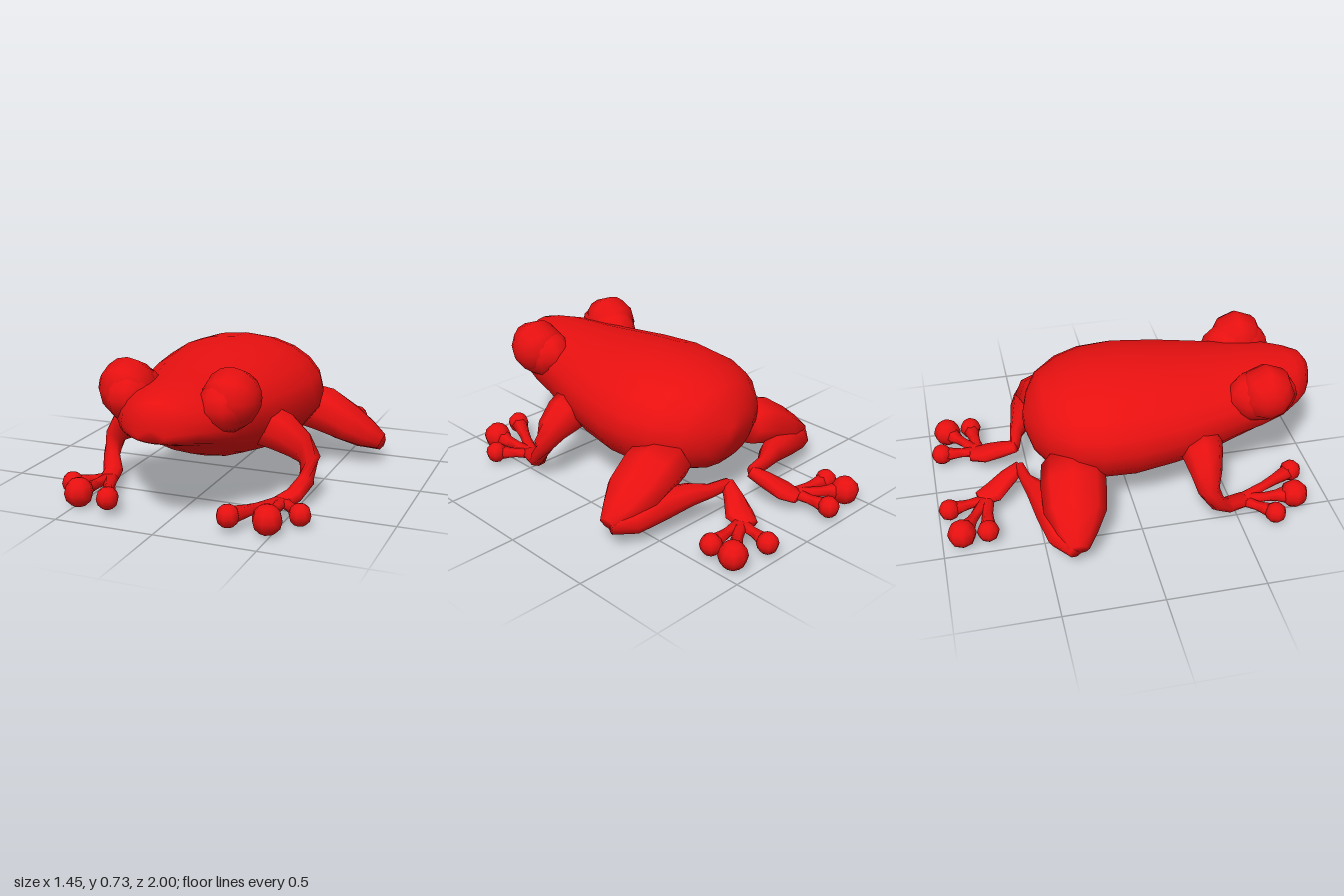
import * as THREE from 'three';

const skin = new THREE.MeshStandardMaterial({ color: 0xe81010 });

// Smooth skin over a list of equal-length rings, closed at both ends
function loft(name, rings) {
  const n = rings[0].length, pos = [], idx = [];
  rings.forEach(r => r.forEach(p => pos.push(p.x, p.y, p.z)));
  for (let i = 0; i < rings.length - 1; i++) {
    for (let j = 0; j < n; j++) {
      const a = i * n + j, b = i * n + (j + 1) % n;
      idx.push(a, a + n, b, b, a + n, b + n);
    }
  }
  [0, rings.length - 1].forEach((r, end) => {
    const c = new THREE.Vector3();
    rings[r].forEach(p => c.addScaledVector(p, 1 / n));
    const centre = pos.length / 3;
    pos.push(c.x, c.y, c.z);
    for (let j = 0; j < n; j++) {
      const a = r * n + j, b = r * n + (j + 1) % n;
      if (end) idx.push(centre, b, a); else idx.push(centre, a, b);
    }
  });
  const g = new THREE.BufferGeometry();
  g.setAttribute('position', new THREE.Float32BufferAttribute(pos, 3));
  g.setIndex(idx);
  g.computeVertexNormals();
  const mesh = new THREE.Mesh(g, skin);
  mesh.name = name;
  return mesh;
}

// Limb along points [x, y, z, half width, half height]; side mirrors x
function limb(name, side, pts, sides = 8) {
  const p = pts.map(q => new THREE.Vector3(q[0] * side, q[1], q[2]));
  const up = new THREE.Vector3(0, 1, 0);
  const rings = p.map((c, i) => {
    const before = p[Math.max(i - 1, 0)], after = p[Math.min(i + 1, p.length - 1)];
    const back = new THREE.Vector3();
    if (before !== c) back.add(before.clone().sub(c).normalize());
    if (after !== c) back.add(c.clone().sub(after).normalize());
    back.normalize();
    const s = up.clone().cross(back).normalize();
    const u = back.clone().cross(s);
    return Array.from({ length: sides }, (_, j) => {
      const a = j / sides * Math.PI * 2;
      return c.clone().addScaledVector(s, Math.cos(a) * pts[i][3])
        .addScaledVector(u, Math.sin(a) * pts[i][4]);
    });
  });
  return loft(name, rings);
}

function ball(name, x, y, z, r, w = 8, h = 6) {
  const m = new THREE.Mesh(new THREE.SphereGeometry(r, w, h), skin);
  m.name = name;
  m.position.set(x, y, z);
  return m;
}

// Toes from the palm, each ending in a round pad [x, y, z, radius]
function toes(group, side, palm, pads) {
  pads.forEach(([x, y, z, r]) => {
    const at = t => palm.map((v, i) => v + ([x, y, z][i] - v) * t);
    group.add(limb('toe', side, [
      [...at(0), 0.04, 0.025], [...at(0.45), 0.028, 0.023],
      [...at(0.65), 0.032, 0.028], [...at(1), r * 0.85, r * 0.8]], 6));
    group.add(ball('toePad', x * side, y, z, r));
  });
}

export function createModel() {
  const frog = new THREE.Group();
  frog.name = 'frog';

  // Body sections: z, half width, top, widest height, bottom, belly roundness
  const sections = [
    [0.995, 0.07, 0.57, 0.47, 0.435, 0.7], [0.96, 0.135, 0.615, 0.475, 0.42, 0.7],
    [0.9, 0.195, 0.63, 0.475, 0.4, 0.7], [0.8, 0.265, 0.645, 0.465, 0.37, 0.7],
    [0.68, 0.3, 0.655, 0.46, 0.315, 0.75], [0.55, 0.32, 0.665, 0.46, 0.25, 0.8],
    [0.4, 0.365, 0.68, 0.45, 0.195, 0.9], [0.22, 0.41, 0.7, 0.44, 0.155, 1],
    [0, 0.44, 0.718, 0.43, 0.132, 1], [-0.17, 0.435, 0.705, 0.43, 0.138, 1],
    [-0.3, 0.39, 0.672, 0.43, 0.16, 1], [-0.42, 0.285, 0.628, 0.42, 0.205, 1],
    [-0.48, 0.18, 0.54, 0.41, 0.265, 1], [-0.515, 0.04, 0.45, 0.41, 0.37, 1]];
  frog.add(loft('body', sections.map(([z, w, top, mid, low, round]) =>
    Array.from({ length: 20 }, (_, j) => {
      const a = j / 20 * Math.PI * 2, s = Math.sin(a);
      const y = s > 0 ? mid + s * (top - mid) : mid - Math.pow(-s, round) * (mid - low);
      return new THREE.Vector3(Math.cos(a) * w, y, z);
    }))));

  for (const side of [1, -1]) {
    const tag = side > 0 ? 'left' : 'right';

    // Bulging eye, poles pointing sideways, set in a fleshy socket
    const eye = ball(tag + 'Eye', 0.262 * side, 0.59, 0.69, 0.145, 8, 8);
    eye.rotation.z = -Math.PI / 2 * side;
    eye.scale.y = 0.95;
    const socket = ball(tag + 'EyeSocket', 0.238 * side, 0.56, 0.675, 1, 10, 8);
    socket.scale.set(0.13, 0.135, 0.185);
    frog.add(eye, socket);

    // Front leg
    const front = new THREE.Group();
    front.name = tag + 'FrontLeg';
    front.add(limb('arm', side, [
      [0.3, 0.37, 0.34, 0.12, 0.11], [0.385, 0.34, 0.335, 0.105, 0.105],
      [0.47, 0.285, 0.335, 0.08, 0.08], [0.525, 0.22, 0.335, 0.055, 0.055],
      [0.525, 0.13, 0.385, 0.042, 0.042], [0.485, 0.07, 0.45, 0.05, 0.035],
      [0.455, 0.065, 0.55, 0.05, 0.03]]));
    toes(front, side, [0.455, 0.065, 0.53],
      [[0.59, 0.068, 0.675, 0.055], [0.48, 0.078, 0.81, 0.073], [0.305, 0.085, 0.85, 0.056]]);
    frog.add(front);

    // Hind leg: flat thigh and calf pressed together, shin running in to the heel
    const hind = new THREE.Group();
    hind.name = tag + 'HindLeg';
    hind.add(limb('thigh', side, [
      [0.28, 0.31, -0.31, 0.16, 0.12], [0.4, 0.28, -0.33, 0.165, 0.125],
      [0.53, 0.215, -0.345, 0.155, 0.1], [0.63, 0.16, -0.36, 0.105, 0.075],
      [0.705, 0.125, -0.365, 0.055, 0.045]]));
    hind.add(limb('shin', side, [
      [0.7, 0.12, -0.37, 0.045, 0.045], [0.6, 0.13, -0.415, 0.085, 0.065],
      [0.46, 0.165, -0.445, 0.09, 0.08], [0.3, 0.18, -0.5, 0.058, 0.06],
      [0.2, 0.175, -0.54, 0.033, 0.04], [0.09, 0.18, -0.56, 0.027, 0.032]]));
    hind.add(limb('foot', side, [
      [0.085, 0.18, -0.555, 0.035, 0.03], [0.12, 0.145, -0.63, 0.052, 0.04],
      [0.165, 0.1, -0.71, 0.075, 0.035], [0.185, 0.085, -0.79, 0.05, 0.025]]));
    toes(hind, side, [0.2, 0.088, -0.75],
      [[0.23, 0.078, -0.945, 0.055], [0.42, 0.078, -0.9, 0.073], [0.43, 0.08, -0.77, 0.056]]);
    frog.add(hind);
  }
  return frog;
}
